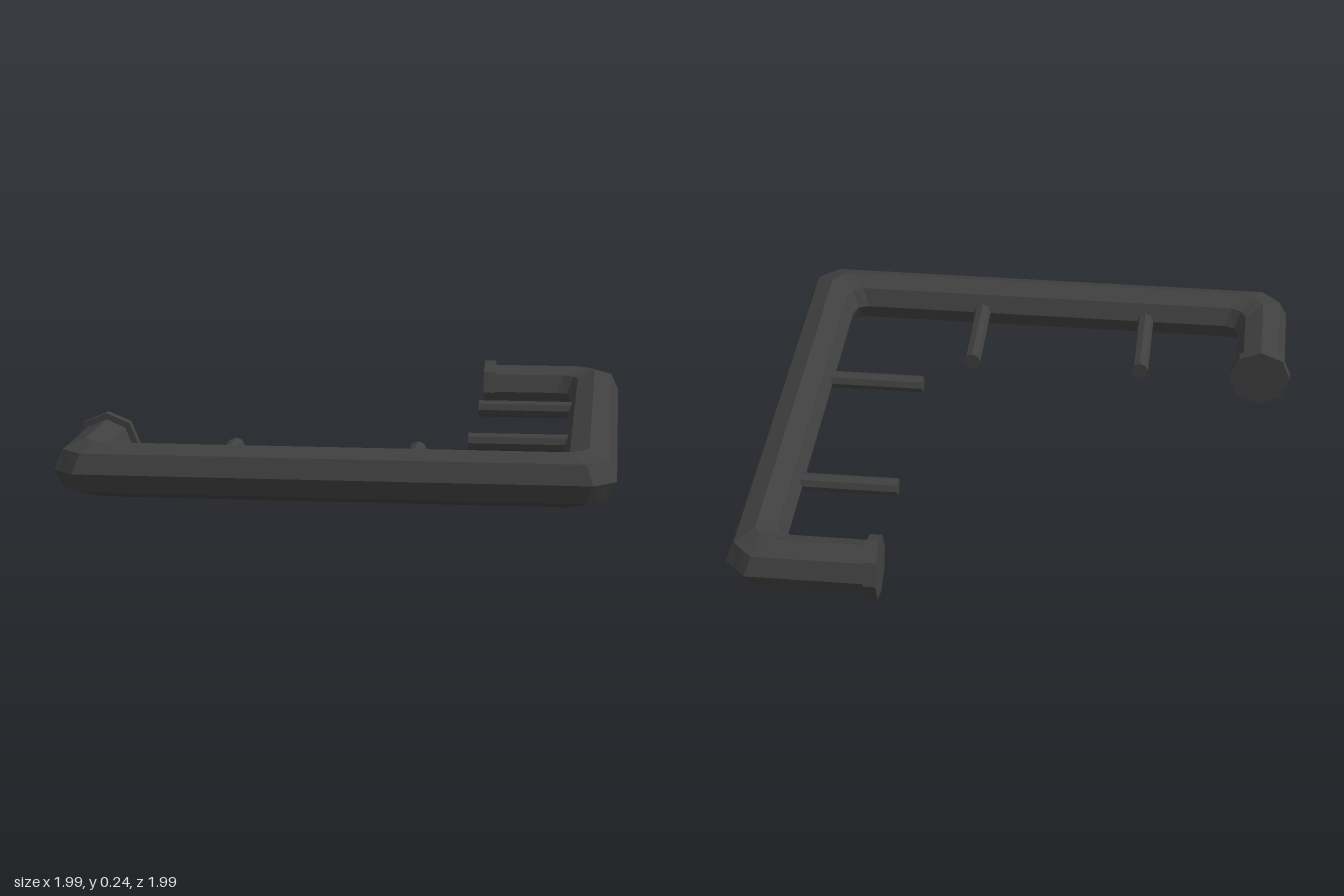
import * as THREE from 'three';

const SIDES = 8, MID_Y = 0.125, PIPE_R = 0.097;

// Centre line in (x, z): end, three corners, end
const PATH = [[-0.88, 0.45], [-0.88, 0.89], [0.89, 0.89], [0.89, -0.89], [0.46, -0.89]]
  .map(([x, z]) => new THREE.Vector2(x, z));

const direction = (i) => PATH[i + 1].clone().sub(PATH[i]).normalize();

// One cross-section; place(o) gives the (x, z) point at outward offset o
function ring(place) {
  return Array.from({ length: SIDES }, (_, j) => {
    const a = (j / SIDES) * Math.PI * 2;
    const p = place(PIPE_R * Math.cos(a));
    return [p.x, MID_Y + PIPE_R * Math.sin(a), p.y];
  });
}

function pipeGeometry() {
  const rings = [];
  const last = PATH.length - 1;
  const endRing = (i, n) => rings.push(ring((o) => PATH[i].clone().addScaledVector(n, o)));

  endRing(0, direction(1).negate());
  for (let i = 1; i < last; i++) {
    const d1 = direction(i - 1), d2 = direction(i);
    const corner = (o) => PATH[i].clone().addScaledVector(d1, o).addScaledVector(d2, -o);
    const leg = (o) => 0.0675 + 0.125 * o;
    const cut = (o) => 0.0275 + 0.125 * o;
    // Chamfered outside, softly rounded inside
    rings.push(ring((o) => corner(o).addScaledVector(d1, -leg(o))));
    rings.push(ring((o) => corner(o).addScaledVector(d1, -cut(o)).addScaledVector(d2, cut(o))));
    rings.push(ring((o) => corner(o).addScaledVector(d2, leg(o))));
  }
  endRing(last, direction(last - 2));

  const index = [];
  for (let i = 0; i < rings.length - 1; i++) {
    for (let j = 0; j < SIDES; j++) {
      const k = (j + 1) % SIDES;
      const a = i * SIDES + j, b = a + SIDES, c = i * SIDES + k, d = c + SIDES;
      index.push(a, b, c, b, d, c);
    }
  }
  const geometry = new THREE.BufferGeometry();
  geometry.setAttribute('position', new THREE.Float32BufferAttribute(rings.flat(2), 3));
  geometry.setIndex(index);
  const flat = geometry.toNonIndexed();
  flat.computeVertexNormals();
  return flat;
}

export function createModel() {
  const model = new THREE.Group();
  model.name = 'cornerRail';
  const material = new THREE.MeshStandardMaterial({ color: 0x404040, flatShading: true });

  function add(name, geometry, x = 0, y = 0, z = 0) {
    const mesh = new THREE.Mesh(geometry, material);
    mesh.name = name;
    mesh.position.set(x, y, z);
    model.add(mesh);
    return mesh;
  }

  // Octagonal rod lying along x or z
  function rod(name, axis, radius, length, x, z) {
    const mesh = add(name, new THREE.CylinderGeometry(radius, radius, length, SIDES), x, MID_Y, z);
    if (axis === 'x') mesh.rotation.z = Math.PI / 2;
    else mesh.rotation.x = Math.PI / 2;
  }

  // Bent main rail
  add('rail', pipeGeometry());

  // Flanges closing both rail ends
  rod('rightEndFlange', 'z', 0.12, 0.04, -0.88, 0.453);
  rod('backEndFlange', 'x', 0.115, 0.045, 0.457, -0.885);

  // Thin mounting pegs pointing inwards
  for (const x of [-0.405, 0.265]) rod('frontPeg', 'z', 0.033, 0.40, x, 0.637);
  for (const z of [-0.415, 0.257]) rod('leftPeg', 'x', 0.033, 0.40, 0.637, z);

  return model;
}
